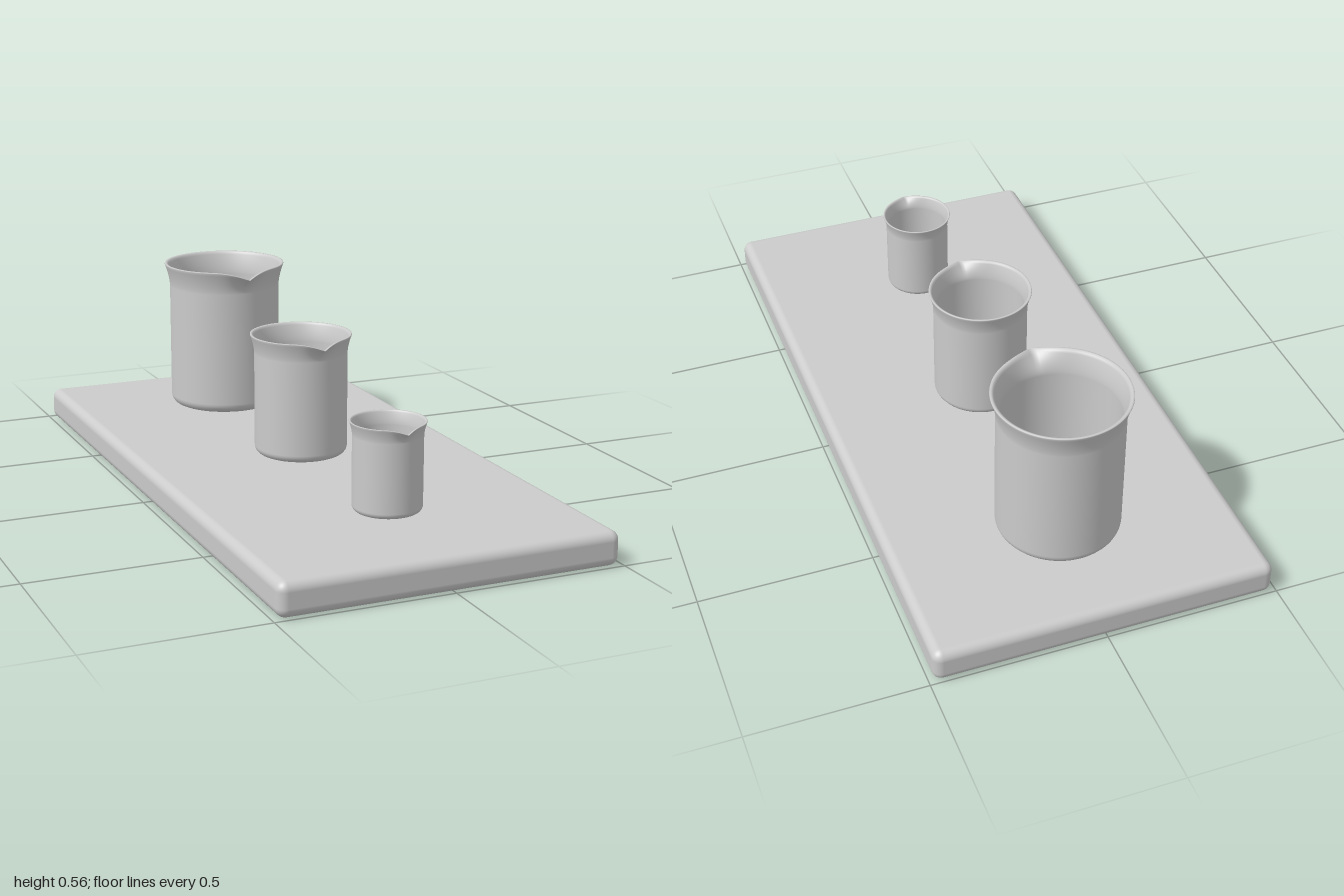
import * as THREE from 'three';
import { RoundedBoxGeometry } from 'three/addons/geometries/RoundedBoxGeometry.js';
import { mergeVertices } from 'three/addons/utils/BufferGeometryUtils.js';

const material = new THREE.MeshStandardMaterial({ color: 0xcccccc });

const BODY = 0.176, HEIGHT = 0.463, RIM = 0.193, WALL = 0.011;
const FLARE_START = 0.39, FLARE = HEIGHT - FLARE_START;
const SPOUT_ANGLE = 0.58, SPOUT_REACH = 0.037, SPOUT_DIP = 0.02;

// Radius of the outer wall at height y, flaring towards the rim
function outerRadius(y) {
  const t = Math.max(0, (y - FLARE_START) / FLARE);
  return BODY + (RIM - BODY) * Math.pow(t, 1.6);
}

// Closed cup section: outer base, outer wall, rim, inner wall, inner floor
function beakerProfile() {
  const points = [[0, 0]];
  const corner = (radius, base, r, up) => {
    for (let i = 0; i <= 6; i++) {
      const a = ((up ? i : 6 - i) / 6) * Math.PI / 2;
      points.push([radius - r + r * Math.sin(a), base + r - r * Math.cos(a)]);
    }
  };
  const steps = 10;
  corner(BODY, 0, 0.03, true);
  points.push([BODY, 0.2]);
  for (let i = 0; i <= steps; i++) {
    const y = FLARE_START + (FLARE - 0.003) * i / steps;
    points.push([outerRadius(y), y]);
  }
  points.push([RIM - 0.002, HEIGHT], [RIM - WALL + 0.004, HEIGHT]);
  for (let i = steps; i >= 0; i--) {
    const y = FLARE_START + (FLARE - 0.003) * i / steps;
    points.push([outerRadius(y) - WALL, y]);
  }
  points.push([BODY - WALL, 0.2]);
  corner(BODY - WALL, WALL, 0.022, false);
  points.push([0, WALL]);
  return points.map(([x, y]) => new THREE.Vector2(x, y));
}

// Spout strength around the rim: straight sides meeting in a point at +z
function spoutShape(angle) {
  const a = Math.abs(angle);
  if (a >= SPOUT_ANGLE) return 0;
  const f = (1 / Math.cos(SPOUT_ANGLE - a) - 1) / (1 / Math.cos(SPOUT_ANGLE) - 1);
  return Math.pow(f, 1.1);
}

function beakerGeometry() {
  let geometry = new THREE.LatheGeometry(beakerProfile(), 120, Math.PI);
  const p = geometry.attributes.position;
  // Pull the flared rim out and down into a pouring spout
  for (let i = 0; i < p.count; i++) {
    const x = p.getX(i), y = p.getY(i), z = p.getZ(i);
    if (y <= FLARE_START) continue;
    const r = Math.hypot(x, z);
    const f = spoutShape(Math.atan2(x, z)) * Math.pow((y - FLARE_START) / FLARE, 2);
    const k = (r + SPOUT_REACH * f) / r;
    p.setXYZ(i, x * k, y - SPOUT_DIP * f, z * k);
  }
  geometry.deleteAttribute('uv');
  geometry.deleteAttribute('normal');
  geometry = mergeVertices(geometry);
  geometry.computeVertexNormals();
  return geometry;
}

export function createModel() {
  const group = new THREE.Group();

  // Rounded slab
  const board = new THREE.Mesh(new RoundedBoxGeometry(0.976, 0.098, 2, 5, 0.027), material);
  board.name = 'board';
  board.position.y = 0.049;
  group.add(board);

  // Three beakers of falling size
  const geometry = beakerGeometry();
  const beakers = [
    ['largeBeaker', -0.632, 1, 0.463],
    ['mediumBeaker', -0.002, 0.785, 0.363],
    ['smallBeaker', 0.592, 0.552, 0.253],
  ];
  for (const [name, z, scale, height] of beakers) {
    const beaker = new THREE.Mesh(geometry, material);
    beaker.name = name;
    beaker.position.set(0, 0.097, z);
    beaker.scale.set(scale, height / HEIGHT, scale);
    group.add(beaker);
  }
  return group;
}
